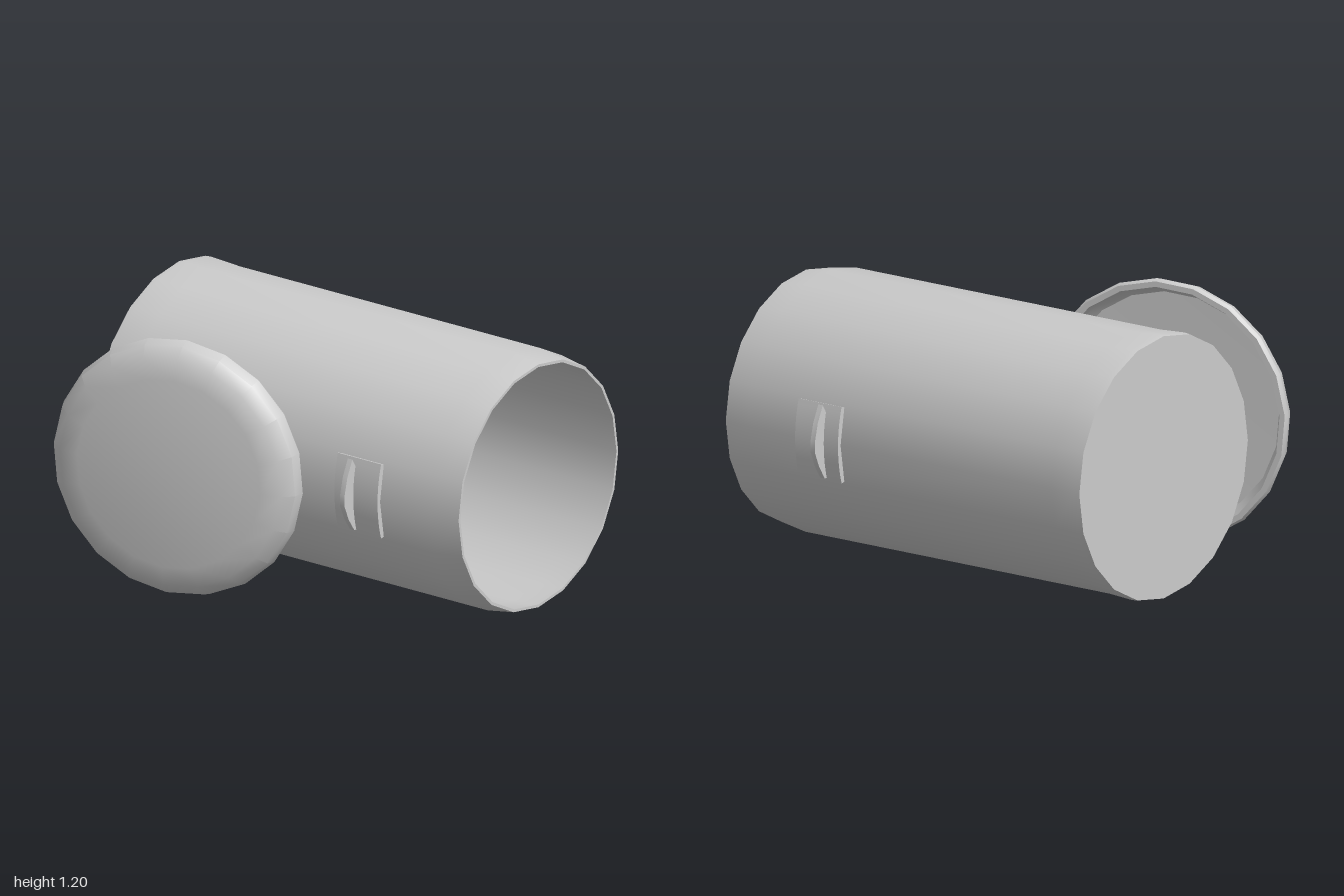
import * as THREE from 'three';
import { toCreasedNormals } from 'three/addons/utils/BufferGeometryUtils.js';

const SIDES = 20;
const material = new THREE.MeshStandardMaterial({ color: 0xcccccc, side: THREE.DoubleSide });

function addMesh(parent, name, geometry) {
  const mesh = new THREE.Mesh(toCreasedNormals(geometry, 0.6), material);
  mesh.name = name;
  parent.add(mesh);
  return mesh;
}

// Round part from [radius, height] pairs
function turned(profile) {
  return new THREE.LatheGeometry(profile.map(([r, h]) => new THREE.Vector2(r, h)), SIDES);
}

// Flat shape pushed along z, starting at z = from
function extruded(shape, from, depth) {
  const geometry = new THREE.ExtrudeGeometry(shape, { depth, bevelEnabled: false, curveSegments: 6 });
  return geometry.translate(0, 0, from);
}

// Curved plate on the wall, with a thin upright fin
function createLug(name) {
  const lug = new THREE.Group();
  lug.name = name;
  const plate = new THREE.Shape();
  plate.absarc(0, 0, 0.608, -0.29, 0.29, false);
  plate.absarc(0, 0, 0.575, 0.29, -0.29, true);
  addMesh(lug, 'lugPlate', extruded(plate, 0.34, 0.24));
  const fin = new THREE.Shape([
    [0.57, -0.16], [0.6, -0.16], [0.64, -0.1], [0.67, -0.03],
    [0.67, 0.02], [0.65, 0.1], [0.615, 0.175], [0.58, 0.12],
  ].map(([x, y]) => new THREE.Vector2(x, y)));
  addMesh(lug, 'lugFin', extruded(fin, 0.42, 0.025));
  return lug;
}

export function createModel() {
  const model = new THREE.Group();

  // Can lying on its side, open at the front
  const can = new THREE.Group();
  can.name = 'can';
  can.position.set(0.16, 0.605, 0);
  model.add(can);
  const body = turned([
    [0, -1], [0.595, -1], [0.598, -0.97], [0.59, -0.84], [0.59, 0.86], [0.568, 1],
    [0.555, 1], [0.57, 0.86], [0.57, -0.92], [0, -0.92],
  ]);
  addMesh(can, 'canBody', body.rotateX(Math.PI / 2));

  // Lugs on both sides
  can.add(createLug('leftLug'));
  const rightLug = createLug('rightLug');
  rightLug.scale.x = -1;
  can.add(rightLug);

  // Lid leaning beside the can, hollow side towards it
  const lid = addMesh(model, 'lid', turned([
    [0, -0.135], [0.44, -0.135], [0.53, -0.115], [0.58, -0.07], [0.595, -0.02], [0.585, 0],
    [0.56, 0], [0.55, -0.05], [0.52, -0.085], [0, -0.095],
  ]));
  lid.position.set(-0.595, 0.605, -0.4);
  lid.quaternion.setFromUnitVectors(
    new THREE.Vector3(0, 1, 0), new THREE.Vector3(0.97, 0, -0.245).normalize());

  return model;
}
